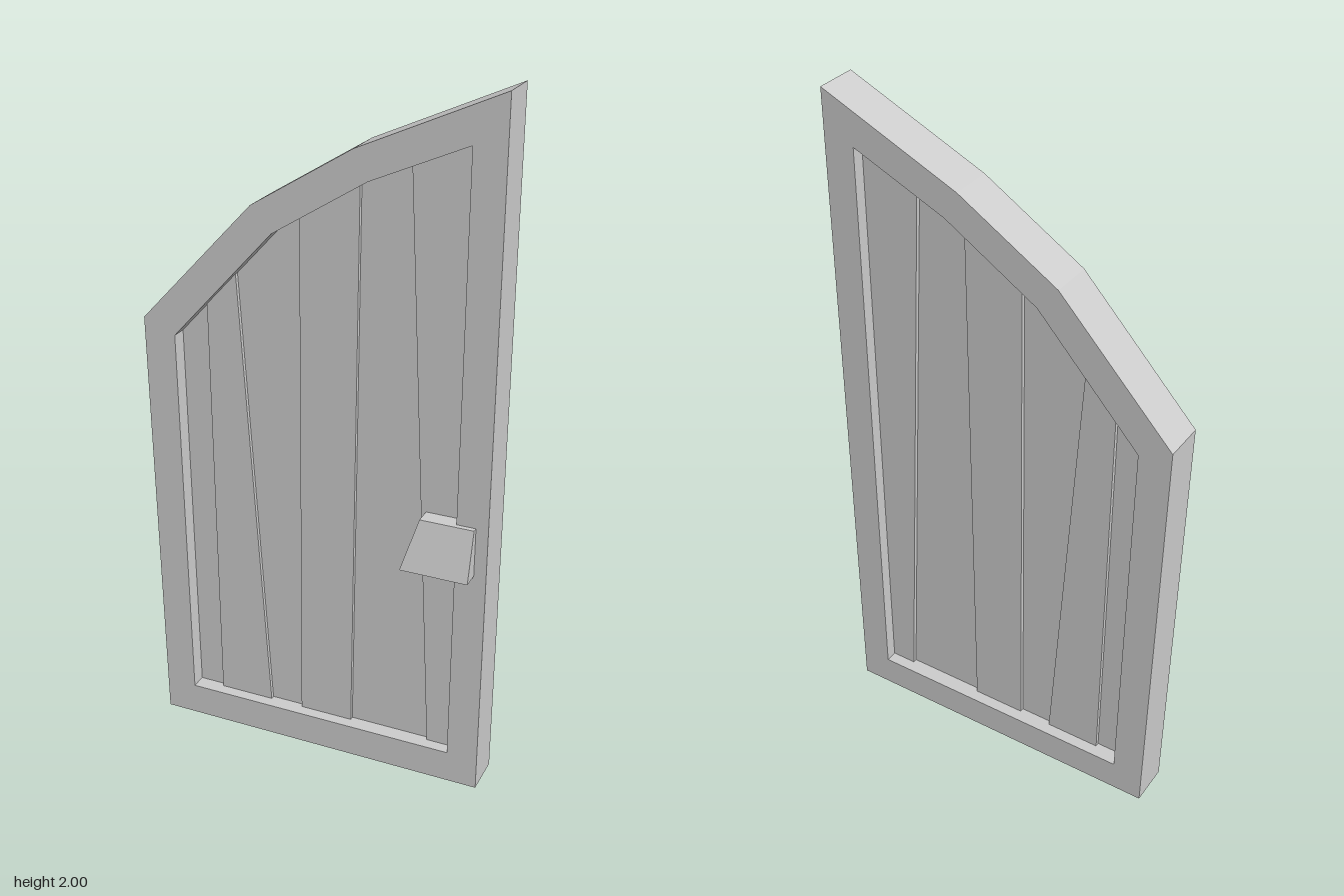
import * as THREE from 'three';

const material = new THREE.MeshStandardMaterial({ color: 0xcccccc, flatShading: true });
const FRONT = 0.033, BACK = -0.09;

// Outline from the two bottom corners round the arched top
const outer = [[-0.49, 0], [0.51, 0], [0.51, 2], [0.11, 1.82], [-0.18, 1.64], [-0.515, 1.28]];
const inner = [[-0.4, 0.095], [0.42, 0.095], [0.42, 1.86], [0.15, 1.74], [-0.12, 1.57], [-0.42, 1.24]];
const toPoints = (list) => list.map(([x, y]) => new THREE.Vector2(x, y));

function slab(name, shape, zBack, zFront) {
  const geometry = new THREE.ExtrudeGeometry(shape, { depth: zFront - zBack, bevelEnabled: false });
  geometry.translate(0, 0, zBack);
  const mesh = new THREE.Mesh(geometry, material);
  mesh.name = name;
  return mesh;
}

// Keep the part of a polygon on one side of the line x = x0 + slope * y
function clip(points, [x0, slope], sign) {
  const side = ([x, y]) => sign * (x - x0 - slope * y);
  const result = [];
  points.forEach((a, i) => {
    const b = points[(i + 1) % points.length];
    const da = side(a), db = side(b);
    if (da >= 0) result.push(a);
    if (da * db < 0) {
      const t = da / (da - db);
      result.push([a[0] + t * (b[0] - a[0]), a[1] + t * (b[1] - a[1])]);
    }
  });
  return result;
}

// Line through a bottom x and a top x at the given height
const seam = (xBottom, xTop, yTop) => {
  const slope = (xTop - xBottom) / (yTop - 0.095);
  return [xBottom - slope * 0.095, slope];
};

export function createModel() {
  const door = new THREE.Group();
  door.name = 'door';

  // Frame with the arched opening
  const frameShape = new THREE.Shape(toPoints(outer));
  frameShape.holes.push(new THREE.Path(toPoints(inner)));
  door.add(slab('frame', frameShape, BACK, FRONT));

  // Crooked planks, alternately thin and thick
  const seams = [
    seam(-0.32, -0.335, 1.33), seam(-0.155, -0.245, 1.43), seam(-0.055, -0.055, 1.6),
    seam(0.105, 0.115, 1.72), seam(0.345, 0.255, 1.78),
  ];
  const planks = new THREE.Group();
  planks.name = 'planks';
  for (let i = 0; i <= seams.length; i++) {
    let outline = inner;
    if (i > 0) outline = clip(outline, seams[i - 1], 1);
    if (i < seams.length) outline = clip(outline, seams[i], -1);
    const inset = i % 2 ? 0.035 : 0.047;
    planks.add(slab('plank' + (i + 1), new THREE.Shape(toPoints(outline)), BACK + inset, FRONT - inset));
  }
  door.add(planks);

  // Wedge handle, wider and deeper at the bottom
  const geometry = new THREE.BoxGeometry(1, 1, 1);
  const p = geometry.attributes.position;
  for (let i = 0; i < p.count; i++) {
    const top = p.getY(i) > 0;
    const x = p.getX(i) > 0 ? 0.475 : top ? 0.32 : 0.28;
    const z = p.getZ(i) < 0 ? -0.01 : top ? 0.048 : 0.085;
    p.setXYZ(i, x, top ? 0.835 : 0.69, z);
  }
  geometry.computeVertexNormals();
  const handle = new THREE.Mesh(geometry, material);
  handle.name = 'handle';
  door.add(handle);

  return door;
}
